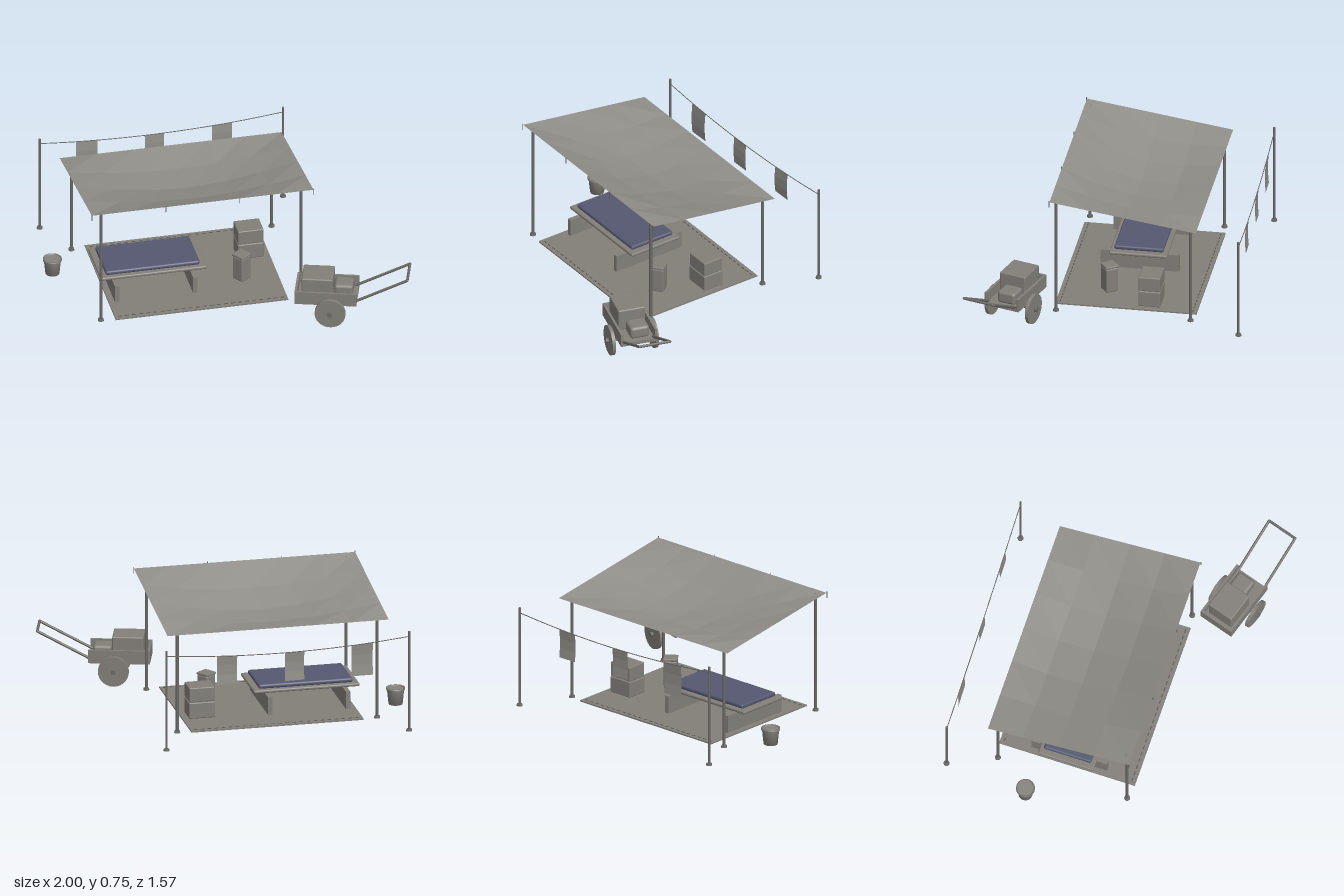
import * as THREE from 'three';
import { RoundedBoxGeometry } from 'three/addons/geometries/RoundedBoxGeometry.js';

const mat = (name, color, extra = {}) => new THREE.MeshStandardMaterial({ name, color, ...extra });

export function createModel() {
  const canvas = mat('canvas cloth', 0x908e88, { side: THREE.DoubleSide, flatShading: true });
  const wood = mat('grey wood', 0x827f79);
  const metal = mat('dark metal', 0x6b6a66);
  const stitch = mat('stitching', 0x5a5853);
  const blue = mat('mattress blue', 0x545870);
  const tin = mat('bucket tin', 0x85837d, { side: THREE.DoubleSide });

  const root = new THREE.Group();
  root.name = 'marketCamp';

  const group = (name, parent = root) => {
    const g = new THREE.Group();
    g.name = name;
    parent.add(g);
    return g;
  };
  const add = (parent, name, geo, material, x = 0, y = 0, z = 0) => {
    const m = new THREE.Mesh(geo, material);
    m.name = name;
    m.position.set(x, y, z);
    parent.add(m);
    return m;
  };
  const box = (parent, name, m, w, h, d, x, y, z) =>
    add(parent, name, new THREE.BoxGeometry(w, h, d), m, x, y, z);
  const soft = (parent, name, m, w, h, d, x, y, z, r = 0.008) =>
    add(parent, name, new RoundedBoxGeometry(w, h, d, 2, r), m, x, y, z);
  // Rod between two points
  const rod = (parent, name, m, a, b, r, sides = 10) => {
    const from = new THREE.Vector3(...a), dir = new THREE.Vector3(...b).sub(from);
    const mesh = add(parent, name, new THREE.CylinderGeometry(r, r, dir.length(), sides), m);
    mesh.position.copy(from).addScaledVector(dir, 0.5);
    mesh.quaternion.setFromUnitVectors(new THREE.Vector3(0, 1, 0), dir.normalize());
    return mesh;
  };
  const pole = (parent, name, x, z, h, r) => {
    rod(parent, name, metal, [x, 0, z], [x, h, z], r, 12);
    add(parent, name + 'Foot', new THREE.CylinderGeometry(0.016, 0.018, 0.012, 12), metal, x, 0.006, z);
  };

  // Sagging canopy on four poles
  const shelter = group('shelter');
  const cloth = new THREE.PlaneGeometry(1.318, 0.86, 6, 4).rotateX(-Math.PI / 2);
  const p = cloth.attributes.position;
  for (let i = 0; i < p.count; i++) {
    const u = p.getX(i) / 1.318 + 0.5, v = p.getZ(i) / 0.86 + 0.5;
    p.setY(i, 0.61 + 0.13 * v - 0.095 * Math.sin(Math.PI * u) * Math.sin(Math.PI * v));
  }
  cloth.computeVertexNormals();
  add(shelter, 'canopy', cloth, canvas, -0.186, 0, -0.08);
  for (const x of [-0.785, 0.405]) {
    pole(shelter, 'frontPole', x, 0.322, 0.73, 0.009);
    pole(shelter, 'backPole', x, -0.469, 0.595, 0.009);
  }
  for (let i = 0; i < 4; i++) {
    const x = -0.845 + i * 0.4393;
    rod(shelter, 'canopyTie', metal, [x, 0.708, 0.353], [x, 0.748, 0.353], 0.0025, 6);
  }

  // Ground mat with stitched front and back hems
  const floor = group('groundMat');
  box(floor, 'mat', wood, 1.025, 0.008, 0.83, -0.188, 0.004, -0.075);
  for (const z of [0.315, -0.465])
    for (let i = 0; i < 24; i++)
      box(floor, 'hemStitch', stitch, 0.022, 0.002, 0.006, -0.67 + i * 0.042, 0.009, z);

  // Bench bed
  const bed = group('bed');
  for (const x of [-0.652, -0.188]) box(bed, 'bedSupport', wood, 0.026, 0.106, 0.463, x, 0.061, -0.073);
  soft(bed, 'bedBoard', wood, 0.63, 0.02, 0.34, -0.42, 0.131, -0.073);
  soft(bed, 'mattress', blue, 0.56, 0.026, 0.29, -0.42, 0.153, -0.073, 0.011);

  // Stacked crates
  const crates = group('crates');
  soft(crates, 'lowerCrate', wood, 0.155, 0.097, 0.13, 0.21, 0.056, -0.206, 0.006);
  soft(crates, 'upperCrate', wood, 0.152, 0.088, 0.128, 0.21, 0.151, -0.206, 0.006);

  // Upright canister, turned at an angle
  const can = group('canister');
  can.position.set(0.11, 0.008, 0.057);
  can.rotation.y = 0.63;
  soft(can, 'canisterBody', wood, 0.077, 0.152, 0.077, 0, 0.076, 0);
  soft(can, 'canisterLid', wood, 0.082, 0.016, 0.082, 0, 0.16, 0, 0.005);

  // Bucket
  const bucket = group('bucket');
  bucket.position.set(-0.947, 0, -0.246);
  const profile = [[0, 0], [0.041, 0], [0.05, 0.086], [0.055, 0.088], [0.055, 0.1], [0.048, 0.1], [0.047, 0.09]];
  add(bucket, 'bucketShell', new THREE.LatheGeometry(profile.map(q => new THREE.Vector2(...q)), 24), tin);
  add(bucket, 'bucketContents', new THREE.CircleGeometry(0.048, 24).rotateX(-Math.PI / 2), tin, 0, 0.093, 0);

  // Washing line with three cloths
  const line = group('washingLine');
  const start = [-0.913, -0.74], end = [0.54, -0.773];
  pole(line, 'linePole', ...start, 0.61, 0.007);
  pole(line, 'linePole', ...end, 0.61, 0.007);
  const at = x => {
    const t = (x - start[0]) / (end[0] - start[0]);
    return new THREE.Vector3(x, 0.578 - 0.15 * t * (1 - t), start[1] + (end[1] - start[1]) * t);
  };
  const pts = Array.from({ length: 9 }, (_, i) => at(start[0] + (end[0] - start[0]) * i / 8));
  add(line, 'rope', new THREE.TubeGeometry(new THREE.CatmullRomCurve3(pts), 32, 0.0025, 6), metal);
  for (const [x, w, bottom] of [[-0.632, 0.128, 0.362], [-0.228, 0.115, 0.367], [0.176, 0.12, 0.378]]) {
    const g = new THREE.PlaneGeometry(w, 1, 2, 3), q = g.attributes.position;
    for (let i = 0; i < q.count; i++) {
      const top = at(x + q.getX(i)), v = q.getY(i) + 0.5;
      q.setXYZ(i, top.x, bottom + (top.y - bottom) * v, top.z + 0.006 * Math.sin(Math.PI * v));
    }
    g.computeVertexNormals();
    add(line, 'hangingCloth', g, canvas);
  }

  // Handcart: local x runs toward the handle
  const cart = group('handcart');
  cart.position.set(0.509, 0, 0.543);
  cart.rotation.y = -0.304;
  box(cart, 'cartFloor', wood, 0.36, 0.02, 0.22, 0, 0.141, 0);
  box(cart, 'cartEndWall', wood, 0.014, 0.06, 0.22, -0.173, 0.181, 0);
  soft(cart, 'cargoBox', wood, 0.183, 0.134, 0.165, -0.05, 0.219, 0);
  soft(cart, 'cargoSack', wood, 0.11, 0.075, 0.115, 0.1, 0.188, -0.015, 0.018);
  for (const s of [-1, 1]) {
    box(cart, 'cartSideWall', wood, 0.346, 0.06, 0.014, 0.007, 0.181, s * 0.103);
    box(cart, 'axleBracket', wood, 0.03, 0.05, 0.014, 0.03, 0.11, s * 0.09);
    add(cart, 'wheel', new THREE.CylinderGeometry(0.09, 0.09, 0.02, 28).rotateX(Math.PI / 2), wood, 0.03, 0.091, s * 0.131);
    add(cart, 'hub', new THREE.CylinderGeometry(0.014, 0.014, 0.04, 12).rotateX(Math.PI / 2), metal, 0.03, 0.091, s * 0.138);
    rod(cart, 'handleBar', metal, [0.14, 0.14, s * 0.093], [0.476, 0.314, s * 0.093], 0.008);
    add(cart, 'handleCorner', new THREE.SphereGeometry(0.008, 10, 8), metal, 0.476, 0.314, s * 0.093);
  }
  rod(cart, 'axle', metal, [0.03, 0.091, -0.13], [0.03, 0.091, 0.13], 0.007);
  rod(cart, 'handleGrip', metal, [0.476, 0.314, -0.093], [0.476, 0.314, 0.093], 0.008);

  return root;
}
